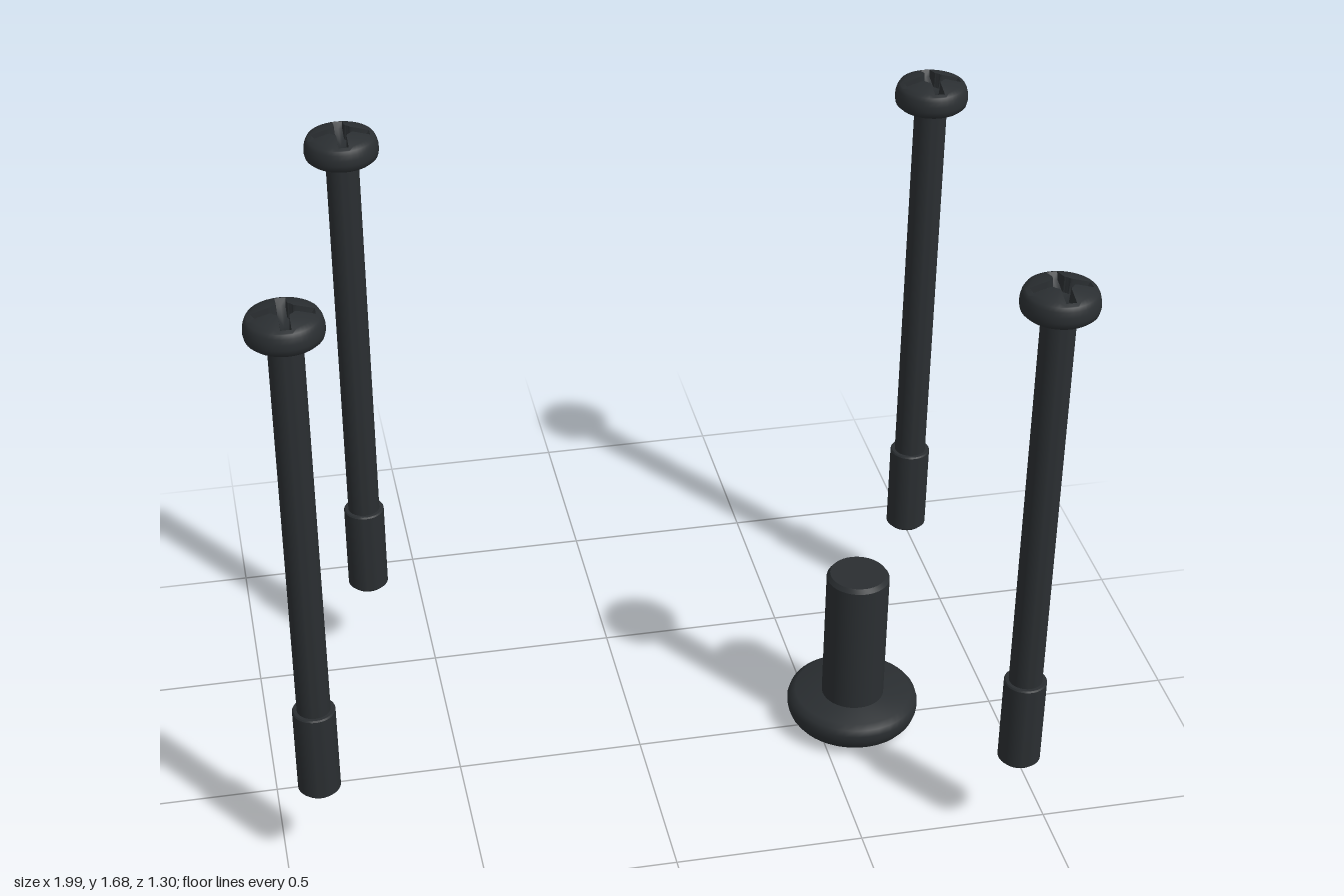
import * as THREE from 'three';
import { toCreasedNormals } from 'three/addons/utils/BufferGeometryUtils.js';

const material = new THREE.MeshStandardMaterial({ color: 0x2a2e31 });

// Angles around the head, placed so that the corners of the cross slot are met exactly
function crossAngles(length, halfWidth) {
  const a0 = Math.atan2(halfWidth, length);
  const q = Math.PI / 4;
  const half = [0, 0.13, 0.32, 0.55, 0.77, 1].map((t, i) => (i === 0 ? 0 : a0 + (q - a0) * (i === 1 ? 0 : t)));
  const sector = [...half.slice(1).reverse().map((a) => -a), ...half.slice(0, -1)];
  return [0, 1, 2, 3].flatMap((k) => sector.map((a) => ({ theta: k * 2 * q + a, off: Math.abs(a) })));
}

// Pan head with a domed top and a cross recess; the underside lies at y = 0
function headGeometry({ radius: R, height: H, slotLength: L, slotHalfWidth: w, slotDepth: D }) {
  const angles = crossAngles(L, w);
  const outline = (off) => Math.max(0.4 * L, Math.min(L / Math.cos(off), w / Math.max(Math.sin(off), 1e-6)));
  const domeY = (r) => H * (1 - 0.32 * (r / R) ** 2);

  // Each ring gives [radius, y] for an angle, from the underside over the rim into the recess
  const rings = [() => [0, 0]];
  for (const [r, h] of [[0.88, 0], [0.97, 0.1], [1, 0.27], [0.99, 0.45], [0.955, 0.62], [0.9, 0.741]]) {
    rings.push(() => [r * R, h * H]);
  }
  for (const t of [0.25, 0.5, 0.75, 1]) {
    rings.push((off) => {
      const r = 0.9 * R + (outline(off) - 0.9 * R) * t;
      return [r, domeY(r)];
    });
  }
  rings.push((off) => {
    const r = outline(off) * 0.85;
    return [r, H - D * (1 - 0.45 * (r / L))];
  });
  rings.push(() => [0, H - D]);

  const point = (i, j) => {
    const { theta, off } = angles[j % angles.length];
    const [r, y] = rings[i](off);
    return [r * Math.cos(theta), y, -r * Math.sin(theta)];
  };
  const positions = [];
  for (let i = 0; i < rings.length - 1; i++) {
    for (let j = 0; j < angles.length; j++) {
      const a = point(i, j), b = point(i, j + 1), c = point(i + 1, j + 1), d = point(i + 1, j);
      if (i > 0) positions.push(...a, ...b, ...c);
      if (i < rings.length - 2) positions.push(...a, ...c, ...d);
      else positions.push(...[]);
      if (i === 0) positions.splice(positions.length - 9, 9, ...a, ...c, ...d);
    }
  }
  const geometry = new THREE.BufferGeometry();
  geometry.setAttribute('position', new THREE.Float32BufferAttribute(positions, 3));
  return toCreasedNormals(geometry, 0.72);
}

// Shank turned from a profile of [radius, y] points, tip first
function shankGeometry(profile) {
  const points = profile.map(([r, y]) => new THREE.Vector2(r, y));
  return toCreasedNormals(new THREE.LatheGeometry(points, 40), 0.5);
}

// A screw with its tip at y = 0, standing head up
function screw(name, profile, head) {
  const group = new THREE.Group();
  group.name = name;
  const shank = new THREE.Mesh(shankGeometry(profile), material);
  shank.name = 'shank';
  const top = new THREE.Mesh(headGeometry(head), material);
  top.name = 'head';
  top.position.y = profile[profile.length - 1][1];
  group.add(shank, top);
  return group;
}

export function createModel() {
  const model = new THREE.Group();
  model.name = 'screwSet';

  // Four long screws with a thicker threaded end
  const longProfile = [[0, 0], [0.046, 0], [0.055, 0.009], [0.055, 0.252], [0.052, 0.256], [0.043, 0.256], [0.043, 1.345]];
  const longHead = { radius: 0.097, height: 0.08, slotLength: 0.075, slotHalfWidth: 0.013, slotDepth: 0.05 };
  const longScrew = screw('longScrew', longProfile, longHead);
  for (const [x, z] of [[-0.903, 0.32], [-0.673, -0.555], [0.897, -0.555], [0.897, 0.55]]) {
    const copy = longScrew.clone();
    copy.position.set(x, 0.255, z);
    model.add(copy);
  }

  // One short, thick screw standing on its head
  const shortProfile = [[0, 0], [0.076, 0], [0.085, 0.012], [0.085, 0.395]];
  const shortHead = { radius: 0.18, height: 0.105, slotLength: 0.1, slotHalfWidth: 0.018, slotDepth: 0.06 };
  const shortScrew = screw('shortScrew', shortProfile, shortHead);
  shortScrew.rotation.x = Math.PI;
  shortScrew.position.set(0.6, 0.5, 0);
  model.add(shortScrew);

  return model;
}
